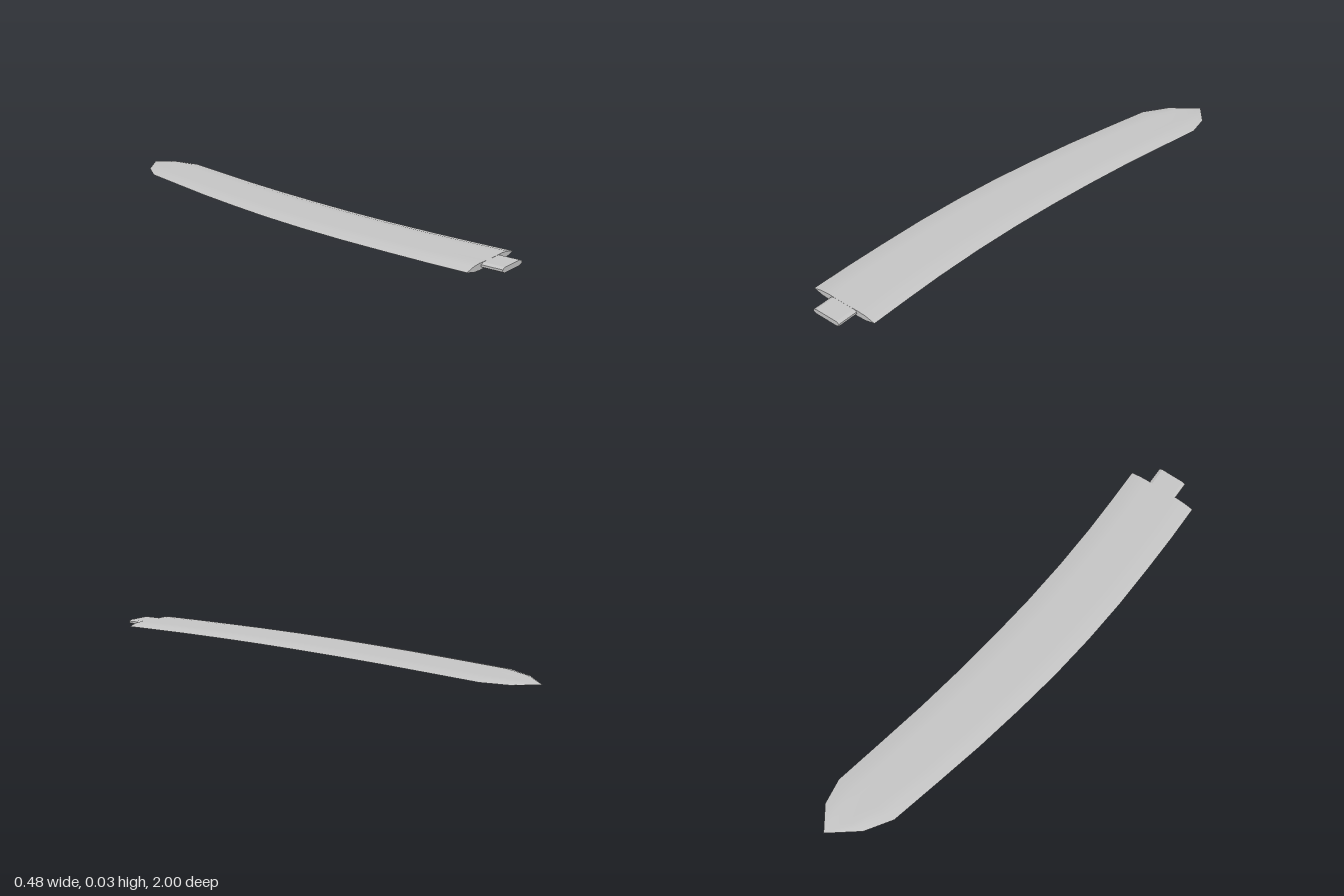
import * as THREE from 'three';
import { toCreasedNormals } from 'three/addons/utils/BufferGeometryUtils.js';

const MID = 0.0125; // height of the blade's middle plane

// Outline stations: z, left edge x, right edge x, half thickness
const STATIONS = [
  [0.92, -0.242, 0.055, 0.0125],
  [0.76, -0.242, 0.054, 0.0123],
  [0.6, -0.238, 0.055, 0.012],
  [0.4, -0.23, 0.063, 0.0117],
  [0.2, -0.214, 0.078, 0.0113],
  [0, -0.19, 0.1, 0.011],
  [-0.2, -0.157, 0.127, 0.0106],
  [-0.4, -0.119, 0.159, 0.0102],
  [-0.6, -0.074, 0.197, 0.0098],
  [-0.81, -0.025, 0.238, 0.0094],
  [-0.91, 0.042, 0.222, 0.0075],
];
const TIP = [0.157, MID, -1];

// Upper half of the cross-section: fraction of width, fraction of thickness
const UPPER = [[0, 0], [0.14, 0.8], [0.26, 1], [0.38, 0.9], [0.62, 0.9], [0.74, 1], [0.86, 0.8], [1, 0]];
const LOWER = UPPER.slice(1, -1).reverse().map(([u, h]) => [u, -h]);
const SECTION = [...UPPER, ...LOWER];

function bladeGeometry() {
  const n = SECTION.length;
  const positions = [];
  const index = [];
  for (const [z, left, right, half] of STATIONS) {
    for (const [u, h] of SECTION) positions.push(left + u * (right - left), MID + h * half, z);
  }
  positions.push(...TIP);
  const last = STATIONS.length - 1;
  const tip = n * STATIONS.length;

  for (let j = 0; j < n; j++) {
    const k = (j + 1) % n;
    // Skin between stations
    for (let i = 0; i < last; i++) {
      const a = i * n + j, b = i * n + k;
      index.push(a, b, a + n, b, b + n, a + n);
    }
    // Point of the blade
    index.push(last * n + j, last * n + k, tip);
    // Flat end beside the tang
    if (j > 0 && j < n - 1) index.push(0, j + 1, j);
  }
  const geometry = new THREE.BufferGeometry();
  geometry.setAttribute('position', new THREE.Float32BufferAttribute(positions, 3));
  geometry.setIndex(index);
  return toCreasedNormals(geometry, 0.4);
}

function tangGeometry() {
  // Flat bar with chamfered sides
  const w = 0.0625, h = 0.0098, c = 0.013, s = 0.004;
  const shape = new THREE.Shape([
    [-w, -s], [-w + c, -h], [w - c, -h], [w, -s],
    [w, s], [w - c, h], [-w + c, h], [-w, s],
  ].map(([x, y]) => new THREE.Vector2(x, y)));
  return new THREE.ExtrudeGeometry(shape, { depth: 0.1, bevelEnabled: false });
}

export function createModel() {
  const steel = new THREE.MeshStandardMaterial({ color: 0xc4c4c4 });
  steel.name = 'steel grey';

  const blade = new THREE.Mesh(bladeGeometry(), steel);
  blade.name = 'blade';

  const tang = new THREE.Mesh(tangGeometry(), steel);
  tang.name = 'tang';
  tang.position.set(-0.0925, 0.0135, 0.9);

  const group = new THREE.Group();
  group.name = 'curvedBlade';
  group.add(blade, tang);
  return group;
}
